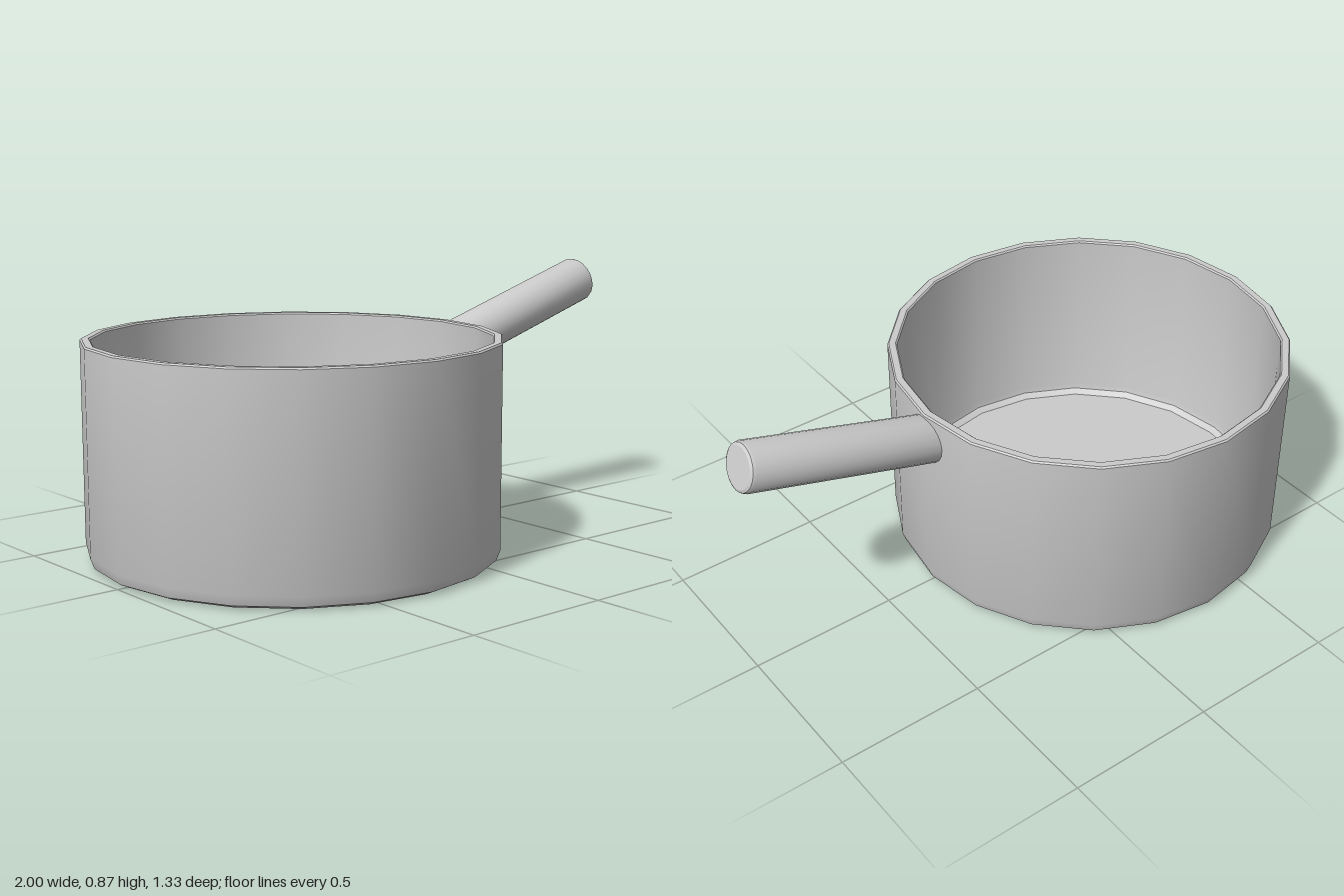
import * as THREE from 'three';
import { toCreasedNormals } from 'three/addons/utils/BufferGeometryUtils.js';

const material = new THREE.MeshStandardMaterial({ color: 0xcccccc });

// Revolve [radius, height] points around y, keeping sharp edges sharp
function lathe(points, segments) {
  return new THREE.LatheGeometry(points.map(([r, y]) => new THREE.Vector2(r, y)), segments);
}

function addPart(group, name, geometry) {
  const mesh = new THREE.Mesh(toCreasedNormals(geometry, 0.5), material);
  mesh.name = name;
  group.add(mesh);
}

export function createModel() {
  const group = new THREE.Group();
  group.name = 'saucepan';

  // Pot: closed profile up the outside, over the rim and down the inside
  const pot = lathe([
    [0, 0], [0.63, 0], [0.655, 0.012], [0.667, 0.045],
    [0.667, 0.695], [0.662, 0.7], [0.64, 0.7], [0.635, 0.695],
    [0.635, 0.07], [0.63, 0.05], [0.61, 0.035], [0, 0.035],
  ], 20);
  pot.translate(-0.333, 0, 0);
  addPart(group, 'pot', pot);

  // Handle: bevelled rod tilted upward, its inner end cut upright inside the wall
  const length = 0.7, radius = 0.08, startX = 0.315;
  const handle = lathe([
    [0, -length], [radius, -length], [radius, -0.016],
    [0.076, -0.005], [0.067, 0], [0, 0],
  ], 20);
  const tilt = 0.295;
  handle.rotateZ(tilt - Math.PI / 2);
  handle.translate(0.98, 0.8, 0);
  const pos = handle.attributes.position;
  for (let i = 0; i < pos.count; i++) {
    const dx = startX - pos.getX(i);
    if (pos.getX(i) < 0.5) {
      pos.setX(i, startX);
      pos.setY(i, pos.getY(i) + dx * Math.tan(tilt));
    }
  }
  addPart(group, 'handle', handle);

  return group;
}
